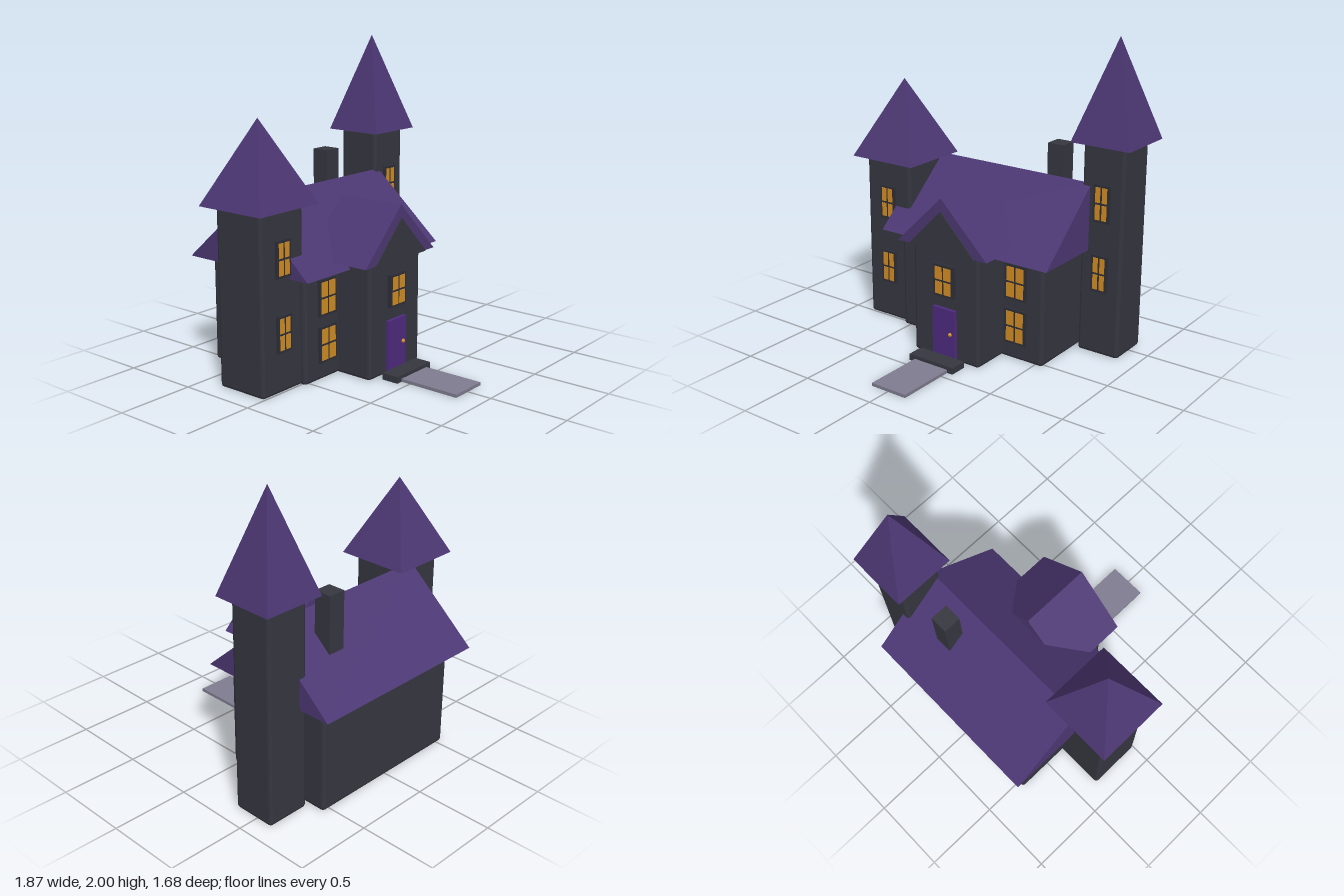
import * as THREE from 'three';
import { RoundedBoxGeometry } from 'three/addons/geometries/RoundedBoxGeometry.js';

export function createModel() {
  const model = new THREE.Group();
  model.name = 'hauntedMansion';

  const material = (name, color) => {
    const m = new THREE.MeshStandardMaterial({ color });
    m.name = name;
    return m;
  };
  const stone = material('dark stone', 0x363640);
  const frameDark = material('window frame', 0x2e2e38);
  const shingle = material('purple shingle', 0x4c3773);
  const doorPurple = material('door purple', 0x4e2b7e);
  const glow = material('window glow', 0xd28d24);
  const paving = material('path paving', 0x7e7c8f);

  const add = (name, geometry, mat, x, y, z, parent = model) => {
    const mesh = new THREE.Mesh(geometry, mat);
    mesh.name = name;
    mesh.position.set(x, y, z);
    parent.add(mesh);
    return mesh;
  };

  // Plain box from its lower and upper limits
  const box = (name, mat, [x0, x1], [y0, y1], [z0, z1]) =>
    add(name, new THREE.BoxGeometry(x1 - x0, y1 - y0, z1 - z0), mat,
      (x0 + x1) / 2, (y0 + y1) / 2, (z0 + z1) / 2);

  // Wall block with small bevelled edges
  const block = (name, [x0, x1], [y0, y1], [z0, z1]) => {
    const g = new RoundedBoxGeometry(x1 - x0, y1 - y0, z1 - z0, 1, 0.018);
    g.computeVertexNormals();
    add(name, g, stone, (x0 + x1) / 2, (y0 + y1) / 2, (z0 + z1) / 2);
  };

  // Triangular prism, with the triangle in x-y and its depth along +z
  const prism = (halfWidth, height, depth) => {
    const s = new THREE.Shape();
    s.moveTo(-halfWidth, 0);
    s.lineTo(halfWidth, 0);
    s.lineTo(0, height);
    s.closePath();
    return new THREE.ExtrudeGeometry(s, { depth, bevelEnabled: false });
  };

  // Four-sided spire
  const spire = (name, width, height, x, y, z) => {
    const g = new THREE.ConeGeometry(width / Math.SQRT2, height, 4, 1)
      .rotateY(Math.PI / 4).toNonIndexed();
    g.computeVertexNormals();
    add(name, g, shingle, x, y + height / 2, z);
  };

  // Window: frame plate with four glowing panes; z is the wall surface
  const windowUnit = (name, x, y, z, w, h, depth = 0.016) => {
    const group = new THREE.Group();
    group.name = name;
    group.position.set(x, y, z);
    model.add(group);
    add('frame', new THREE.BoxGeometry(w, h, depth + 0.01), frameDark,
      0, 0, (depth - 0.01) / 2, group);
    const gap = 0.014, rim = 0.016;
    const pw = (w - 2 * rim - gap) / 2;
    const ph = (h - 2 * rim - gap) / 2;
    const pane = new THREE.BoxGeometry(pw, ph, 0.006);
    for (const sx of [-1, 1]) {
      for (const sy of [-1, 1]) {
        add('pane', pane, glow, sx * (pw + gap) / 2, sy * (ph + gap) / 2, depth + 0.001, group);
      }
    }
  };

  // Main house
  block('mainHouse', [-0.545, 0.555], [0, 0.685], [-0.73, 0.038]);
  const roof = prism(0.49, 0.43, 1.27).rotateY(Math.PI / 2);
  add('mainRoof', roof, shingle, -0.63, 0.68, -0.35);

  // Entrance wing with its gable
  block('entranceWing', [-0.245, 0.255], [0, 0.735], [-0.2, 0.287]);
  add('entranceRoof', prism(0.34, 0.335, 0.465), shingle, 0.005, 0.73, -0.135);
  add('gablePanel', prism(0.25, 0.255, 0.006), stone, 0.005, 0.728, 0.33);

  // Towers
  block('leftTower', [-0.868, -0.512], [0, 1.11], [-0.357, -0.001]);
  spire('leftSpire', 0.49, 0.51, -0.69, 1.11, -0.18);
  block('rightTower', [0.585, 0.872], [0, 1.367], [-0.62, -0.332]);
  spire('rightSpire', 0.405, 0.635, 0.728, 1.365, -0.477);

  // Chimney
  box('chimney', stone, [0.243, 0.36], [0.85, 1.275], [-0.582, -0.465]);

  // Door, knob, step and path
  box('door', doorPurple, [-0.082, 0.09], [0.003, 0.345], [0.27, 0.31]);
  add('doorKnob', new THREE.SphereGeometry(0.013, 8, 6), glow, 0.057, 0.185, 0.314);
  box('doorStep', stone, [-0.165, 0.173], [0, 0.042], [0.325, 0.44]);
  box('path', paving, [-0.122, 0.133], [0, 0.02], [0.44, 0.84]);

  // Windows
  for (const x of [-0.35, 0.36]) {
    for (const y of [0.225, 0.52]) windowUnit('houseWindow', x, y, 0.038, 0.156, 0.23);
  }
  windowUnit('entranceWindow', 0.005, 0.53, 0.287, 0.15, 0.208, 0.028);
  for (const y of [0.367, 0.82]) windowUnit('leftTowerWindow', -0.692, y, -0.001, 0.118, 0.226);
  for (const y of [0.547, 1.0]) windowUnit('rightTowerWindow', 0.728, y, -0.332, 0.112, 0.24);

  return model;
}
